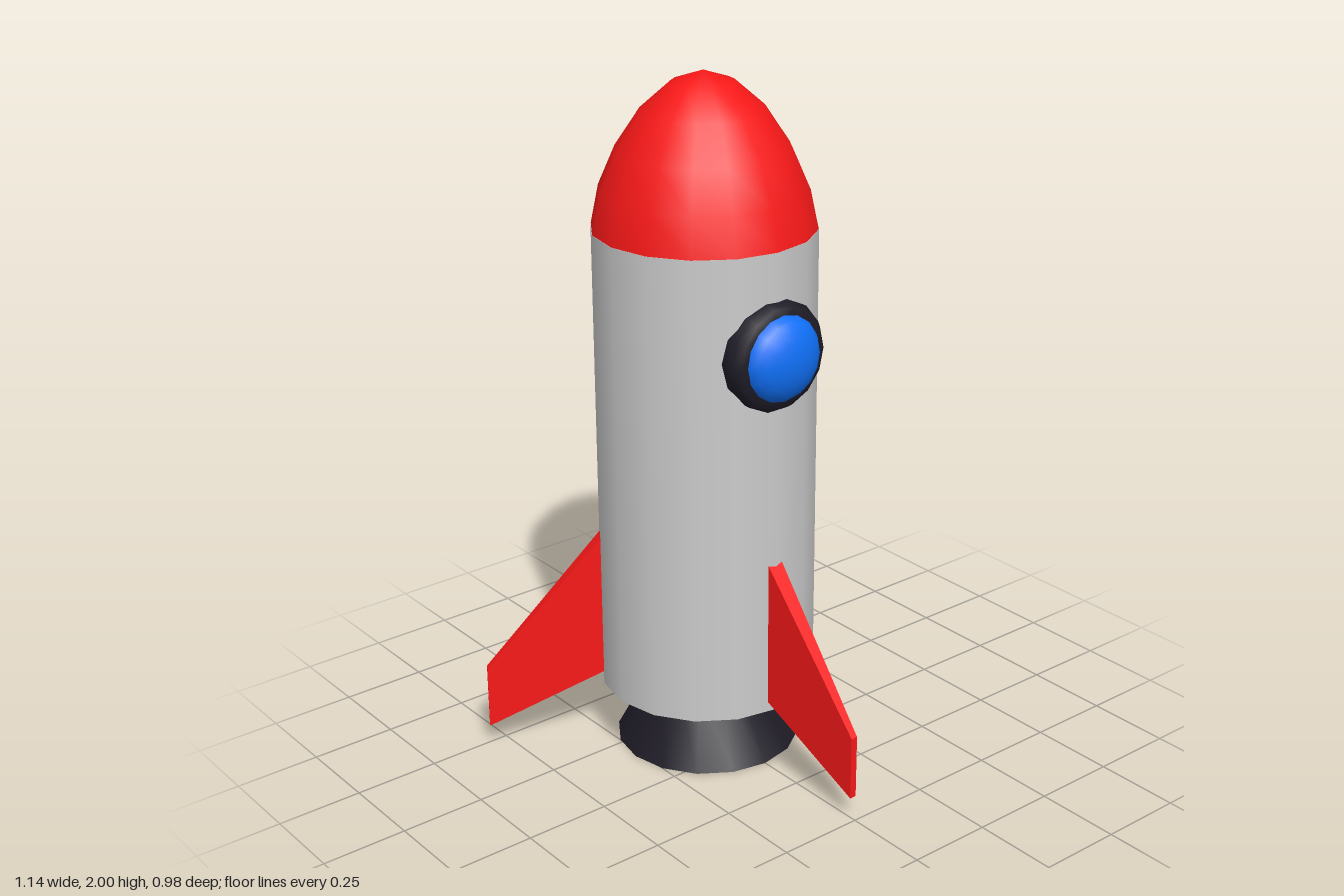
import * as THREE from 'three';
import { toCreasedNormals } from 'three/addons/utils/BufferGeometryUtils.js';

const AXIS_Z = -0.16; // rocket axis
const R = 0.314; // body radius
const material = (color) => new THREE.MeshStandardMaterial({ color });
const red = material(0xf81818);
const dark = material(0x1e1b26);
const blue = material(0x1070f8);
const grey = material(0xcccccc);

// Lathe from [radius, height] pairs, running up the outside
function lathe(points, sides, crease = 0.6) {
  const profile = points.map(([r, y]) => new THREE.Vector2(r, y));
  return toCreasedNormals(new THREE.LatheGeometry(profile, sides, Math.PI / 2), crease);
}

function add(parent, name, geometry, mat) {
  const mesh = new THREE.Mesh(geometry, mat);
  mesh.name = name;
  parent.add(mesh);
  return mesh;
}

// Swept fin pointing to +z, thinner at the tip
function finGeometry() {
  const shape = new THREE.Shape([
    new THREE.Vector2(0.29, 0.24),
    new THREE.Vector2(0.65, 0.07),
    new THREE.Vector2(0.65, 0.26),
    new THREE.Vector2(0.29, 0.685),
  ]);
  const geo = new THREE.ExtrudeGeometry(shape, { depth: 1, bevelEnabled: false });
  geo.translate(0, 0, -0.5);
  const pos = geo.attributes.position;
  for (let i = 0; i < pos.count; i++) {
    const t = (pos.getX(i) - 0.29) / 0.36;
    pos.setZ(i, pos.getZ(i) * THREE.MathUtils.lerp(0.05, 0.02, t));
  }
  geo.rotateY(-Math.PI / 2);
  geo.computeVertexNormals();
  return geo;
}

export function createModel() {
  const model = new THREE.Group();
  model.name = 'rocket';

  const hull = new THREE.Group();
  hull.name = 'hull';
  hull.position.z = AXIS_Z;
  model.add(hull);

  // Body and nose
  add(hull, 'body', new THREE.CylinderGeometry(R, R, 1.37, 16), grey).position.y = 0.885;
  add(hull, 'noseCone', lathe([
    [R, 1.565], [0.29, 1.68], [0.242, 1.79], [0.172, 1.895], [0.087, 1.97], [0, 2],
  ], 16, 1), red);

  // Hollow engine nozzle
  add(hull, 'nozzle', lathe([
    [0, 0.17], [0.13, 0.17], [0.18, 0], [0.27, 0], [0.163, 0.2], [0, 0.2],
  ], 16), dark);

  // Three fins
  const fin = finGeometry();
  ['frontFin', 'leftFin', 'rightFin'].forEach((name, i) => {
    add(hull, name, fin, red).rotation.y = (i * Math.PI * 2) / 3;
  });

  // Porthole facing the front
  const porthole = new THREE.Group();
  porthole.name = 'porthole';
  porthole.position.y = 1.28;
  porthole.rotation.x = Math.PI / 2;
  model.add(porthole);
  add(porthole, 'portholeRing', lathe([
    [0.12, 0.06], [0.15, 0.09], [0.157, 0.115], [0.157, 0.155], [0.143, 0.176], [0.11, 0.178],
  ], 14, 1), dark);
  const dome = [];
  for (let i = 0; i <= 6; i++) {
    const a = (i / 6) * Math.PI / 2;
    dome.push([0.125 * Math.cos(a), 0.165 + 0.072 * Math.sin(a)]);
  }
  add(porthole, 'window', lathe(dome, 16, 1), blue);

  return model;
}
